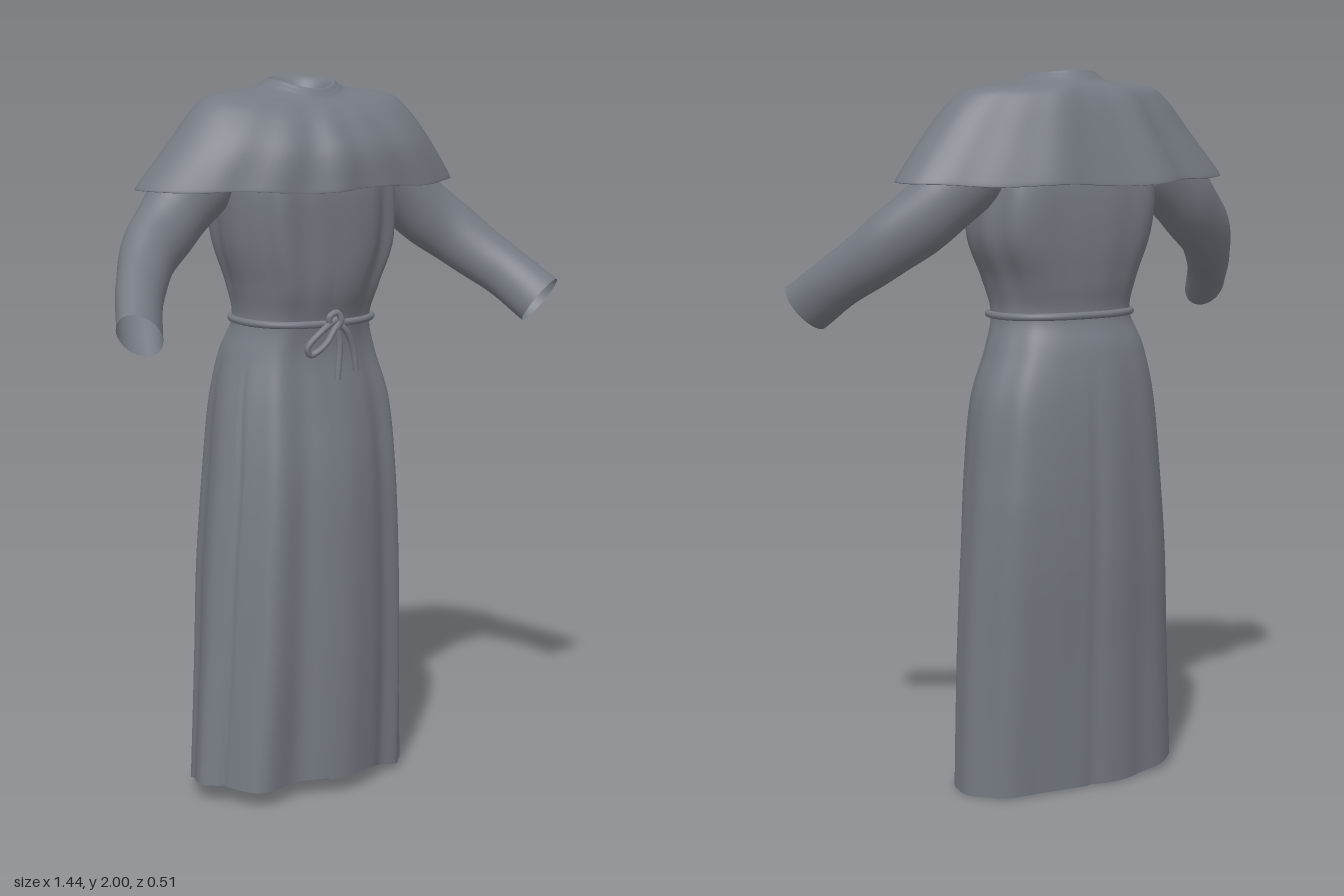
import * as THREE from 'three';

const cloth = new THREE.MeshStandardMaterial({ color: 0x757a82, side: THREE.DoubleSide });
const V = (x, y, z) => new THREE.Vector3(x, y, z);
const bump = (d, w) => Math.exp(-(d * d) / (w * w));

// Smooth interpolation between rows of numbers, t from 0 to 1
function sampleRows(rows, t) {
  const f = t * (rows.length - 1);
  const i = Math.min(Math.floor(f), rows.length - 2);
  const w = f - i;
  const at = (k) => rows[Math.max(0, Math.min(rows.length - 1, k))];
  return rows[i].map((_, c) => {
    const p0 = at(i - 1)[c], p1 = at(i)[c], p2 = at(i + 1)[c], p3 = at(i + 2)[c];
    return p1 + 0.5 * w * (p2 - p0 + w * (2 * p0 - 5 * p1 + 4 * p2 - p3 + w * (3 * (p1 - p2) + p3 - p0)));
  });
}

// Surface through point(u, v); closed surfaces share their first and last column
function loft(name, nu, nv, closed, point) {
  const cols = closed ? nu : nu + 1;
  const pos = [], idx = [];
  for (let j = 0; j <= nv; j++)
    for (let i = 0; i < cols; i++) pos.push(...point(i / nu, j / nv).toArray());
  for (let j = 0; j < nv; j++)
    for (let i = 0; i < nu; i++) {
      const a = j * cols + i, b = j * cols + ((i + 1) % cols);
      idx.push(a, b, b + cols, a, b + cols, a + cols);
    }
  const geo = new THREE.BufferGeometry();
  geo.setAttribute('position', new THREE.Float32BufferAttribute(pos, 3));
  geo.setIndex(idx);
  geo.computeVertexNormals();
  const mesh = new THREE.Mesh(geo, cloth);
  mesh.name = name;
  return mesh;
}

// Point on a rounded section with different left/right and front/back reach; a = 0 is the front
function section(a, xl, xr, zf, zb, power) {
  const s = Math.sin(a), c = Math.cos(a), mx = (xl + xr) / 2, mz = (zf + zb) / 2;
  return [
    mx + Math.sign(s) * Math.abs(s) ** power * (xr - xl) / 2,
    mz + Math.sign(c) * Math.abs(c) ** power * (zf - zb) / 2,
  ];
}

// Gown: y, x min, x max, z front, z back, fold depth, squareness power
const gownRows = [
  [0.0, -0.365, 0.315, 0.168, -0.185, 0.012, 0.84],
  [0.2, -0.35, 0.312, 0.172, -0.2, 0.012, 0.84],
  [0.4, -0.335, 0.308, 0.174, -0.215, 0.011, 0.84],
  [0.65, -0.315, 0.3, 0.17, -0.235, 0.01, 0.84],
  [0.9, -0.287, 0.285, 0.159, -0.242, 0.009, 0.84],
  [1.1, -0.262, 0.27, 0.129, -0.235, 0.007, 0.84],
  [1.24, -0.23, 0.225, 0.105, -0.215, 0.004, 0.84],
  [1.335, -0.197, 0.197, 0.112, -0.187, 0.002, 0.84],
  [1.43, -0.207, 0.215, 0.137, -0.2, 0.005, 0.78],
  [1.55, -0.237, 0.262, 0.15, -0.213, 0.007, 0.72],
  [1.7, -0.25, 0.26, 0.157, -0.215, 0.006, 0.7],
  [1.8, -0.24, 0.24, 0.14, -0.19, 0.003, 0.8],
  [1.87, -0.19, 0.19, 0.1, -0.16, 0.0, 0.9],
];

function gown() {
  const overlap = 0.07;
  return loft('gown', 180, 96, false, (u, v) => {
    const a = -0.04 + u * (Math.PI * 2 + overlap);
    const [y, xl, xr, zf, zb, fold, power] = sampleRows(gownRows, v);
    const [x, z] = section(a, xl, xr, zf, zb, power);
    // Folds are deeper in front; the two front edges overlap at the seam
    const front = 0.35 + 0.65 * (0.5 + 0.5 * Math.cos(a));
    let out = fold * front * (Math.sin(8 * a + 0.6) + 0.4 * Math.sin(13 * a + 2 + v * 1.5));
    out += 0.008 * bump(a, 0.25) - 0.006 * bump(a - Math.PI * 2, 0.15);
    // Flare of the skirt corners
    const skirt = Math.max(0, 1 - y / 1.25);
    out += 0.03 * skirt * bump(a - Math.PI * 2 + 0.68, 0.24);
    out -= 0.028 * skirt * bump(a - 0.85, 0.4);
    out += 0.028 * Math.min(1, skirt * 3) * bump(a - 2.2, 0.45);
    // Fuller chest towards the right side and back
    const chest = bump(y - 1.62, 0.16);
    out += chest * (0.018 * bump(a - 2.4, 0.4) + 0.018 * bump(a - 3.9, 0.4) - 0.012 * bump(a - 0.8, 0.35));
    // Side and back seams
    for (const s of [0.98, Math.PI, Math.PI * 2 - 1.15])
      out -= 0.008 * Math.min(1, skirt * 4) * bump(a - s, 0.035);
    const hem = 0.025 + 0.026 * Math.cos(a + 0.6) + 0.006 * Math.sin(3 * a) - 0.016 * bump(a - 0.9, 0.5);
    return V(x + Math.sin(a) * out, y + Math.max(0, hem) * Math.max(0, 1 - y / 0.4), z + Math.cos(a) * out);
  });
}

// Shoulder cape with collar, from inside hem to neck: y front, y side, y back, x reach, z front, z back
const capeRows = [
  [1.76, 1.76, 1.76, 0.44, 0.175, -0.212],
  [1.708, 1.708, 1.7, 0.486, 0.18, -0.222],
  [1.7, 1.705, 1.695, 0.498, 0.188, -0.23],
  [1.712, 1.717, 1.707, 0.498, 0.19, -0.23],
  [1.8, 1.83, 1.81, 0.408, 0.182, -0.208],
  [1.87, 1.915, 1.9, 0.335, 0.143, -0.185],
  [1.91, 1.952, 1.945, 0.275, 0.105, -0.168],
  [1.937, 1.966, 1.972, 0.145, 0.072, -0.15],
  [1.952, 1.982, 1.99, 0.108, 0.06, -0.136],
  [1.966, 1.99, 1.999, 0.092, 0.048, -0.125],
  [1.95, 1.965, 1.975, 0.07, 0.03, -0.105],
  [1.905, 1.915, 1.92, 0.05, 0.015, -0.08],
  [1.895, 1.895, 1.895, 0.001, -0.034, -0.036],
];

function cape() {
  return loft('shoulderCape', 128, 84, true, (u, v) => {
    const a = u * Math.PI * 2;
    const [yf, ys, yb, rx, zf, zb] = sampleRows(capeRows, v);
    const [x, z] = section(a, -rx, rx, zf, zb, 1);
    const s2 = Math.sin(a) ** 2, c = Math.cos(a);
    const y = ys * s2 + (c > 0 ? yf : yb) * (1 - s2);
    // Shallow drapes, growing towards the hem
    const k = THREE.MathUtils.clamp((rx - 0.15) / 0.35, 0, 1);
    const drape = k * (1 - s2) * (0.006 * Math.sin(11 * a) + 0.004 * Math.cos(17 * a + 1));
    const fromFront = a > Math.PI ? a - Math.PI * 2 : a;
    const breast = k * 0.025 * bump(fromFront + 0.08, 0.13);
    const d = a - Math.PI;
    const back = k * (0.033 * (bump(d - 0.38, 0.2) + bump(d + 0.38, 0.2)) + 0.016 * bump(d, 0.25));
    // The shoulders sit behind the middle
    const shoulder = 0.032 * k * s2;
    return V(x, y + 0.005 * k * Math.sin(7 * a) * (1 - s2), z + Math.sign(c) * drape + breast - back - shoulder);
  });
}

// Sleeve of flattened section with faint creases, open at the cuff
function sleeve(side) {
  const path = new THREE.CatmullRomCurve3([
    V(0.2, 1.79, -0.07), V(0.3, 1.72, -0.07), V(0.41, 1.625, -0.05),
    V(0.51, 1.535, 0.004), V(0.592, 1.45, 0.1), V(0.657, 1.36, 0.212),
  ]);
  // Long and short radius along the arm
  const radii = [[0.09, 0.09], [0.098, 0.09], [0.094, 0.08], [0.085, 0.068], [0.075, 0.06], [0.077, 0.054]];
  const up = V(0, 1, 0);
  return loft(side > 0 ? 'leftSleeve' : 'rightSleeve', 40, 48, true, (u, v) => {
    const a = -side * u * Math.PI * 2;
    const [long, short] = sampleRows(radii, v);
    const along = path.getTangentAt(v);
    const across = up.clone().cross(along).normalize();
    if (across.x < 0) across.negate();
    const rise = up.clone().addScaledVector(along, -up.dot(along)).normalize();
    // Long axis leans outward from upright
    const lean = 0.5 * v;
    const longAxis = rise.clone().multiplyScalar(Math.cos(lean)).addScaledVector(across, Math.sin(lean));
    const shortAxis = across.clone().multiplyScalar(Math.cos(lean)).addScaledVector(rise, -Math.sin(lean));
    const crease = 1 + 0.02 * Math.sin(v * 22 + 2 * Math.cos(a)) * Math.sin(v * Math.PI);
    const p = path.getPointAt(v)
      .addScaledVector(longAxis, long * crease * Math.cos(a))
      .addScaledVector(shortAxis, short * crease * Math.sin(a));
    p.x *= side;
    return p;
  });
}

// Cord belt with a bow loop and two hanging tails
function cord(name, points, closed = false, radius = 0.009) {
  const path = new THREE.CatmullRomCurve3(points, closed);
  const mesh = new THREE.Mesh(new THREE.TubeGeometry(path, closed ? 120 : 40, radius, 10, closed), cloth);
  mesh.name = name;
  return mesh;
}

function belt() {
  const group = new THREE.Group();
  group.name = 'cordBelt';
  const ring = [];
  for (let i = 0; i < 40; i++) {
    const a = (i / 40) * Math.PI * 2;
    const [x, z] = section(a, -0.201, 0.201, 0.12, -0.19, 0.84);
    ring.push(V(x, 1.335 - 0.004 * Math.cos(a), z));
  }
  group.add(cord('beltRing', ring, true, 0.01));
  group.add(cord('bowLoop', [
    V(0.01, 1.345, 0.13), V(-0.045, 1.315, 0.137), V(-0.088, 1.27, 0.13), V(-0.078, 1.25, 0.128),
    V(-0.035, 1.275, 0.136), V(0.01, 1.335, 0.134),
  ]));
  group.add(cord('longTail', [V(0, 1.34, 0.13), V(0.015, 1.28, 0.133), V(0.008, 1.175, 0.134)]));
  group.add(cord('curvedTail', [
    V(0, 1.34, 0.13), V(0.035, 1.31, 0.135), V(0.06, 1.26, 0.132), V(0.073, 1.195, 0.13),
  ]));
  group.add(cord('knot', [
    V(-0.016, 1.325, 0.132), V(-0.02, 1.352, 0.136), V(0.004, 1.362, 0.138), V(0.014, 1.342, 0.142), V(0.004, 1.318, 0.136),
  ]));
  return group;
}

export function createModel() {
  const model = new THREE.Group();
  model.name = 'robe';
  model.add(gown(), cape(), sleeve(1), sleeve(-1), belt());
  return model;
}
